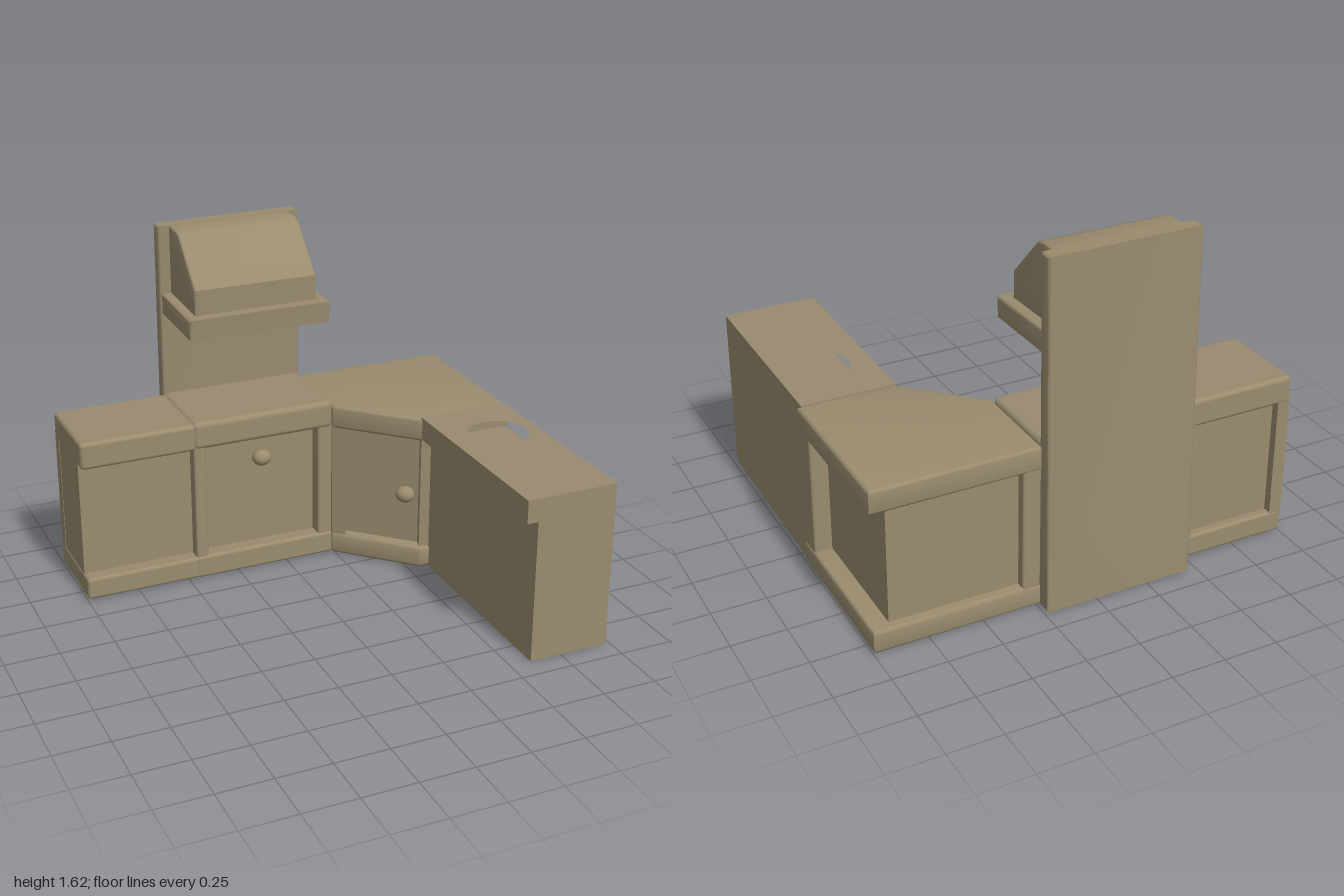
import * as THREE from 'three';
import { toCreasedNormals } from 'three/addons/utils/BufferGeometryUtils.js';
import { RoundedBoxGeometry } from 'three/addons/geometries/RoundedBoxGeometry.js';

export function createModel() {
  const kitchen = new THREE.Group();
  kitchen.name = 'cornerKitchen';
  const clay = new THREE.MeshStandardMaterial({ color: 0x998b6e });
  clay.name = 'khakiClay';

  function add(parent, name, geometry) {
    const mesh = new THREE.Mesh(geometry, clay);
    mesh.name = name;
    parent.add(mesh);
    return mesh;
  }
  function section(name) {
    const group = new THREE.Group();
    group.name = name;
    kitchen.add(group);
    return group;
  }
  // Box between two corners, with softened edges when r > 0
  function box(parent, name, [x0, x1], [y0, y1], [z0, z1], r = 0) {
    const size = [x1 - x0, y1 - y0, z1 - z0];
    const g = r ? new RoundedBoxGeometry(...size, 3, r) : new THREE.BoxGeometry(...size);
    g.translate((x0 + x1) / 2, (y0 + y1) / 2, (z0 + z1) / 2);
    return add(parent, name, g);
  }
  function extrude(points, length, bevel, hole) {
    const shape = new THREE.Shape(points.map(([a, b]) => new THREE.Vector2(a, b)));
    if (hole) shape.holes.push(hole);
    const g = new THREE.ExtrudeGeometry(shape, {
      depth: length - 2 * bevel, curveSegments: 32, bevelEnabled: bevel > 0,
      bevelSize: bevel, bevelOffset: -bevel, bevelThickness: bevel, bevelSegments: 3,
    });
    g.translate(0, 0, bevel);
    return toCreasedNormals(g, 0.6);
  }
  // Floor-plan outline [x, z] raised from y0 to y1
  function plan(parent, name, points, y0, y1, bevel = 0, hole) {
    const g = extrude(points.map(([x, z]) => [x, -z]), y1 - y0, bevel, hole);
    g.rotateX(-Math.PI / 2).translate(0, y0, 0);
    return add(parent, name, g);
  }
  // Side profile [z, y] swept from x0 to x1
  function profile(parent, name, points, x0, x1, bevel = 0) {
    const g = extrude(points.map(([z, y]) => [-z, y]), x1 - x0, bevel);
    g.rotateY(Math.PI / 2).translate(x0, 0, 0);
    return add(parent, name, g);
  }
  function knob(parent, x, y, z, turn = 0) {
    const mesh = add(parent, 'doorKnob', new THREE.SphereGeometry(0.046, 24, 16));
    mesh.scale.set(1, 0.85, 0.9);
    mesh.position.set(x, y, z);
    mesh.rotation.y = turn;
  }

  // Side cabinet: overhanging top and plinth, framed recess at the back
  const side = section('sideCabinet');
  box(side, 'worktop', [-1, -0.45], [0.67, 0.8], [-0.82, -0.39], 0.02);
  box(side, 'plinth', [-1, -0.45], [0.015, 0.12], [-0.82, -0.39], 0.015);
  box(side, 'body', [-0.996, -0.45], [0.1, 0.69], [-0.78, -0.46]);
  for (const x of [-0.998, -0.52]) {
    box(side, 'backPost', [x, x + 0.06], [0.09, 0.71], [-0.818, -0.76]);
  }

  // Stove: recessed door between two posts
  const stove = section('stove');
  box(stove, 'cooktop', [-0.46, 0.24], [0.67, 0.803], [-0.84, -0.395], 0.025);
  box(stove, 'plinth', [-0.46, 0.24], [0.01, 0.12], [-0.84, -0.395], 0.015);
  box(stove, 'body', [-0.45, 0.23], [0.1, 0.7], [-0.84, -0.47]);
  box(stove, 'leftPost', [0.165, 0.24], [0.06, 0.74], [-0.8, -0.402], 0.012);
  box(stove, 'rightPost', [-0.46, -0.4], [0.06, 0.74], [-0.8, -0.402], 0.012);
  knob(stove, -0.11, 0.56, -0.44);

  // Tall back panel, thinning slightly towards the top
  const hood = section('hoodAndPanel');
  profile(hood, 'backPanel', [[-0.9, 0.01], [-0.82, 0.01], [-0.805, 1.63], [-0.87, 1.63]], -0.46, 0.24, 0.012);

  // Extractor hood
  profile(hood, 'hoodRim', [[-0.83, 1.2], [-0.435, 1.19], [-0.43, 1.29], [-0.83, 1.305]], -0.45, 0.24, 0.012);
  profile(hood, 'hoodCowl',
    [[-0.83, 1.28], [-0.48, 1.28], [-0.48, 1.41], [-0.68, 1.615], [-0.72, 1.628], [-0.83, 1.628]],
    -0.405, 0.19, 0.01);

  // Corner cabinet with a diagonal door
  const corner = section('cornerCabinet');
  const outline = [[0.235, -0.83], [1, -0.83], [1, -0.07], [0.55, -0.07], [0.235, -0.385]];
  plan(corner, 'worktop', outline, 0.67, 0.782, 0.015);
  plan(corner, 'plinth', outline, 0.01, 0.115, 0.015);
  plan(corner, 'body',
    [[0.235, -0.785], [0.915, -0.785], [0.915, -0.1], [0.6, -0.1], [0.235, -0.455]], 0.09, 0.7);
  box(corner, 'sidePost', [0.7, 0.995], [0.06, 0.73], [-0.18, -0.06], 0.012);
  box(corner, 'backPost', [0.235, 0.32], [0.06, 0.73], [-0.828, -0.7], 0.012);
  plan(corner, 'doorPost', [[0.235, -0.46], [0.285, -0.46], [0.285, -0.345], [0.235, -0.395]], 0.09, 0.7);
  plan(corner, 'doorPost', [[0.555, -0.09], [0.57, -0.14], [0.63, -0.14], [0.63, -0.07]], 0.09, 0.7);
  knob(corner, 0.49, 0.39, -0.12, Math.PI / 4 * -1);

  // Sink arm: worktop with a round opening and a shallow basin
  const sink = section('sinkCounter');
  const hole = new THREE.Path().absarc(0.785, -0.22, 0.14, 0, Math.PI * 2, true);
  plan(sink, 'worktop', [[0.548, -0.08], [0.984, -0.08], [0.98, 0.897], [0.546, 0.897]], 0.68, 0.788, 0, hole);
  plan(sink, 'body', [[0.6, -0.08], [0.984, -0.08], [0.98, 0.897], [0.6, 0.897]], 0.005, 0.68);
  const bowl = [[0, 0.725], [0.06, 0.728], [0.11, 0.74], [0.132, 0.762], [0.141, 0.788]];
  const basin = add(sink, 'basin',
    new THREE.LatheGeometry(bowl.map(([r, y]) => new THREE.Vector2(r, y)), 40));
  basin.position.set(0.785, 0, 0.22);

  return kitchen;
}
